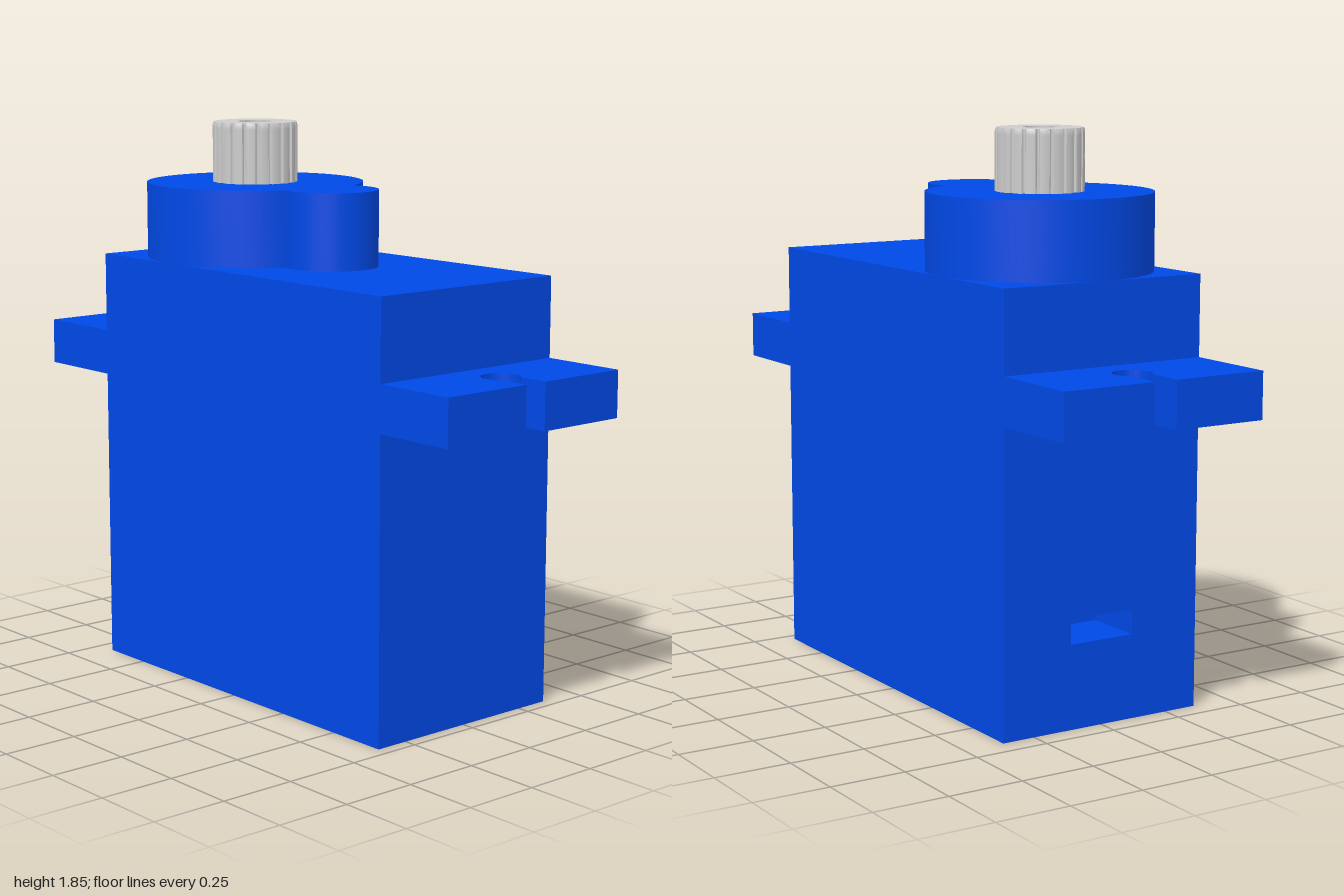
import * as THREE from 'three';
import { toCreasedNormals } from 'three/addons/utils/BufferGeometryUtils.js';

const W = 0.363; // half width of the case

// Extrude a plan drawn in (x, z) between two heights, with smooth curves and sharp edges
function slab(shape, y0, y1, steps = 1) {
  const g = new THREE.ExtrudeGeometry(shape, { depth: y1 - y0, bevelEnabled: false, curveSegments: 48, steps });
  g.rotateX(Math.PI / 2).translate(0, y1, 0);
  return toCreasedNormals(g, 0.5);
}

function rect(x0, y0, x1, y1, Type = THREE.Shape) {
  return new Type([[x0, y0], [x1, y0], [x1, y1], [x0, y1]].map(p => new THREE.Vector2(...p)));
}

// Mounting ear with a keyhole slot open to its outer edge
function earShape(inner, holeZ) {
  const r = 0.0625, half = 0.04, a = Math.acos(half / r);
  const s = new THREE.Shape();
  s.moveTo(-W, inner);
  s.lineTo(W, inner);
  s.lineTo(W, 1);
  s.lineTo(half, 1);
  s.lineTo(half, holeZ + r * Math.sin(a));
  s.absarc(0, holeZ, r, a, Math.PI - a, true);
  s.lineTo(-half, 1);
  s.lineTo(-W, 1);
  s.closePath();
  return s;
}

// Large gear boss merged with a smaller one
function housingShape() {
  const R = W, r = 0.153, z0 = -0.318, z1 = 0.073, d = z1 - z0;
  const along = (d * d + R * R - r * r) / (2 * d);
  const h = Math.sqrt(R * R - along * along);
  const big = Math.atan2(along, h), small = Math.atan2(along - d, h);
  const s = new THREE.Shape();
  s.absarc(0, z1, r, small, Math.PI - small, false);
  s.absarc(0, z0, R, Math.PI - big, big + Math.PI * 2, false);
  s.closePath();
  return s;
}

// Splined shaft with broad teeth, narrow grooves, a bore and a slight top chamfer
function shaftGeometry() {
  const teeth = 20, top = 0.138, pts = [];
  const profile = [[0, 0.133], [0.07, 0.134], [0.15, 0.141], [0.32, 0.142], [0.5, 0.1425], [0.68, 0.142], [0.85, 0.141], [0.93, 0.134]];
  for (let i = 0; i < teeth; i++) {
    for (const [f, r] of profile) {
      const a = (i + f) / teeth * Math.PI * 2;
      pts.push(new THREE.Vector2(r * Math.cos(a), r * Math.sin(a)));
    }
  }
  const s = new THREE.Shape(pts);
  s.holes.push(new THREE.Path().absarc(0, 0, 0.054, 0, Math.PI * 2, true));
  const g = slab(s, 1.65, 1.85, 20);
  const p = g.attributes.position;
  for (let i = 0; i < p.count; i++) {
    const r = Math.hypot(p.getX(i), p.getZ(i));
    if (p.getY(i) > 1.845 && r > top) {
      p.setX(i, p.getX(i) * top / r);
      p.setZ(i, p.getZ(i) * top / r);
    }
  }
  return toCreasedNormals(g, 0.5).translate(0, 0, -0.318);
}

export function createModel() {
  const model = new THREE.Group();
  model.name = 'servoMotor';
  const blue = new THREE.MeshStandardMaterial({ color: 0x0049e8 });
  blue.name = 'blue plastic';
  const metal = new THREE.MeshStandardMaterial({ color: 0xcccccc });
  metal.name = 'grey metal';

  const add = (name, geometry, material = blue) => {
    const mesh = new THREE.Mesh(geometry, material);
    mesh.name = name;
    model.add(mesh);
    return mesh;
  };

  // Case, with the cable opening cut into its rear section
  add('case', new THREE.BoxGeometry(2 * W, 1.4, 1.19).translate(0, 0.7, 0.115));
  const rear = rect(-W, 0, W, 1.4);
  rear.holes.push(rect(-0.115, 0.275, 0.115, 0.355, THREE.Path));
  add('caseRear', new THREE.ExtrudeGeometry(rear, { depth: 0.2, bevelEnabled: false }).translate(0, 0, -0.68));

  // Mounting ears
  add('frontEar', slab(earShape(0.71, 0.853), 0.985, 1.137));
  add('backEar', slab(earShape(0.68, 0.828), 0.985, 1.137)).rotation.y = Math.PI;

  // Gear housing and output shaft
  add('gearHousing', slab(housingShape(), 1.4, 1.65));
  add('outputShaft', shaftGeometry(), metal);

  return model;
}
